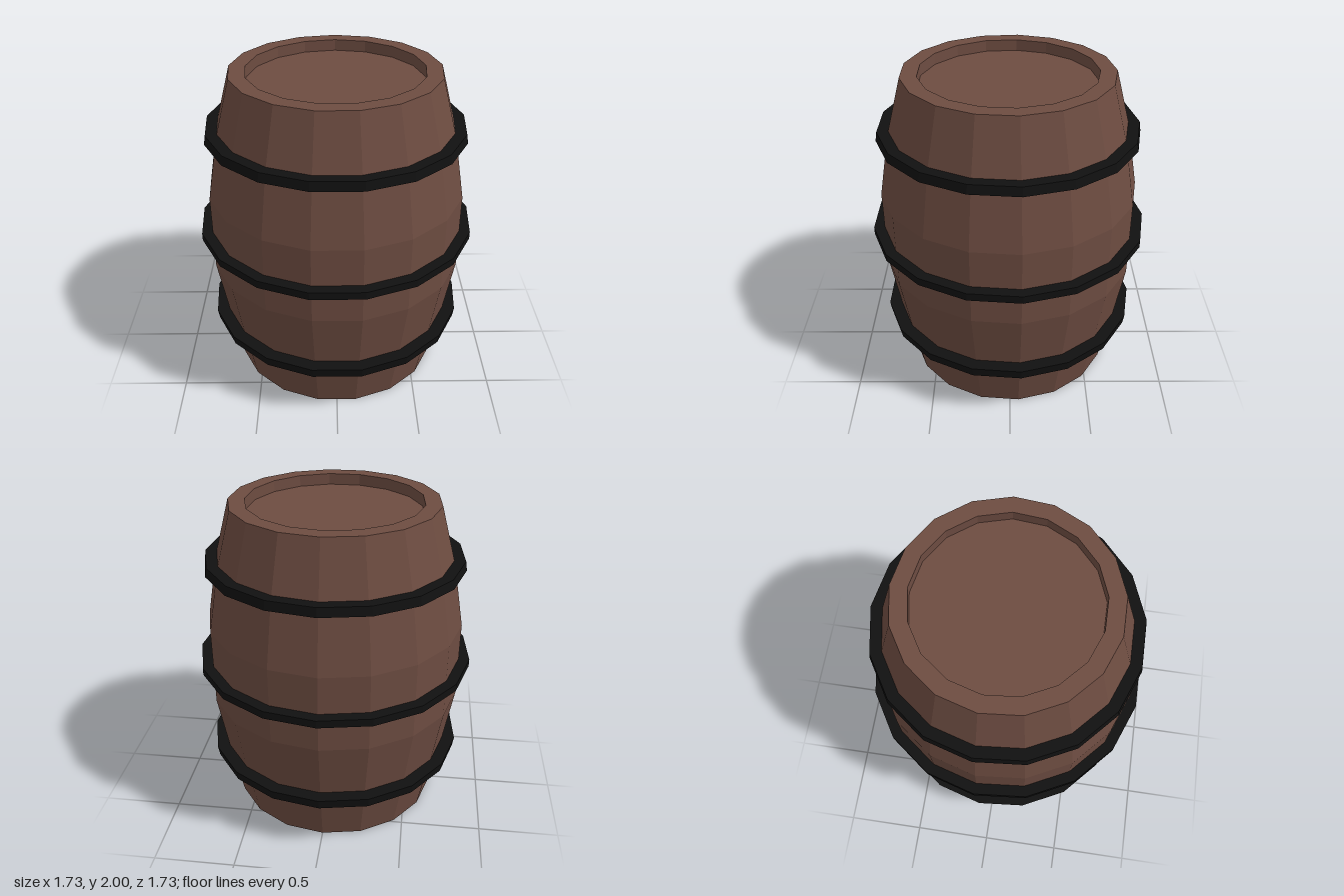
import * as THREE from 'three';

const SIDES = 17;

// Faceted solid of revolution with one corner pointing to the back
function turned(name, profile, material) {
  const points = profile.map(([r, y]) => new THREE.Vector2(r, y));
  const mesh = new THREE.Mesh(new THREE.LatheGeometry(points, SIDES, Math.PI), material);
  mesh.name = name;
  mesh.position.z = 0.006; // evens out the odd-sided outline
  return mesh;
}

export function createModel() {
  const wood = new THREE.MeshStandardMaterial({ color: 0x6d4c41, flatShading: true });
  const iron = new THREE.MeshStandardMaterial({ color: 0x111111, flatShading: true });
  const barrel = new THREE.Group();
  barrel.name = 'barrel';

  // Bulging staves, with the lid sunk below the rim
  barrel.add(turned('barrelBody', [
    [0, 0], [0.663, 0], [0.737, 0.37], [0.803, 0.76], [0.803, 1.25],
    [0.734, 1.64], [0.636, 2], [0.536, 2], [0.536, 1.93], [0, 1.93],
  ], wood));

  // Hoops: bottom and top height, outer radius at each, inner radius at each
  const hoops = [
    ['lowerHoop', 0.335, 0.397, 0.812, 0.822, 0.728, 0.74],
    ['middleHoop', 0.965, 1.013, 0.87, 0.87, 0.8, 0.8],
    ['upperHoop', 1.617, 1.673, 0.803, 0.794, 0.735, 0.722],
  ];
  for (const [name, y0, y1, out0, out1, in0, in1] of hoops) {
    barrel.add(turned(name, [[in0, y0], [out0, y0], [out1, y1], [in1, y1], [in0, y0]], iron));
  }
  return barrel;
}
